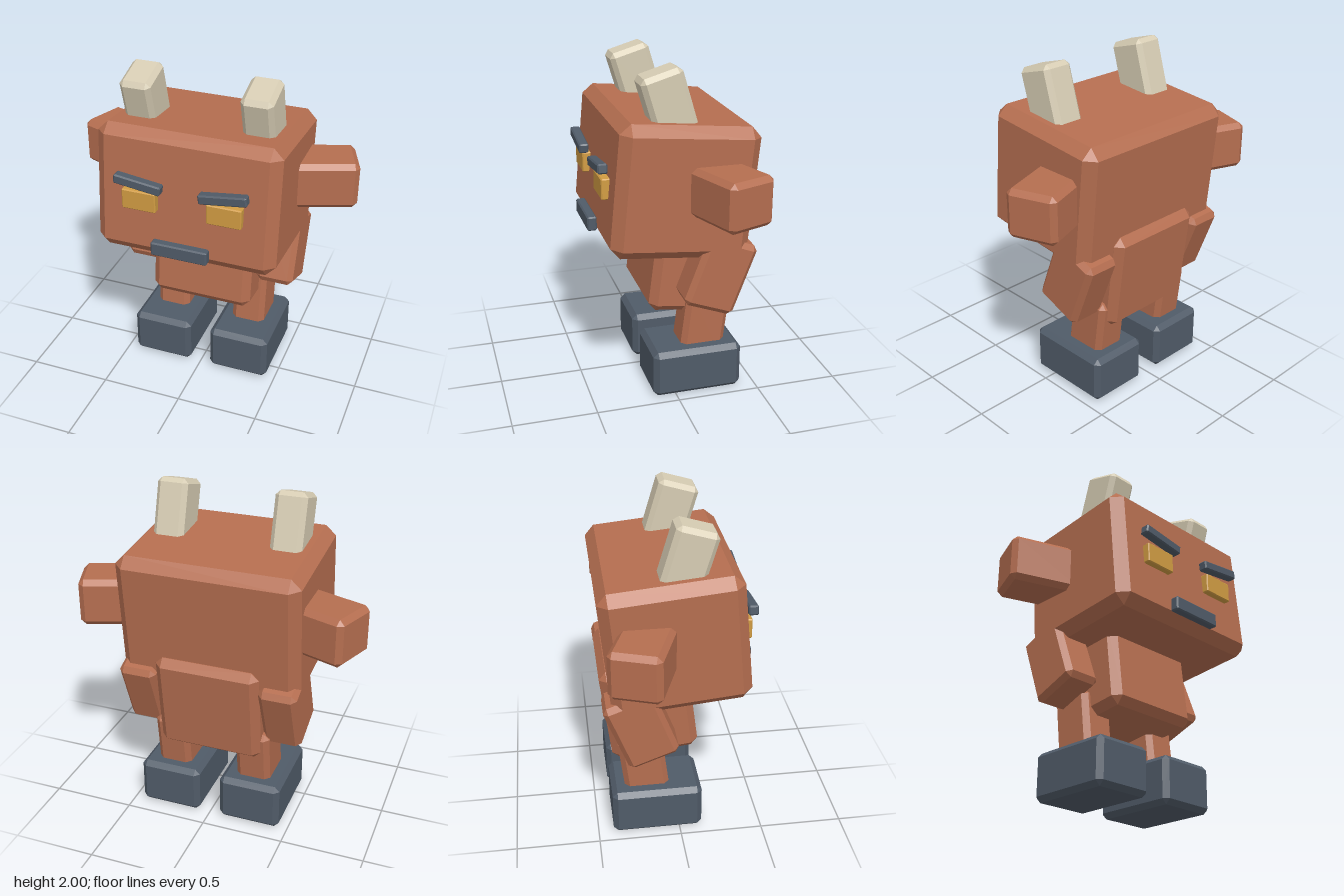
import * as THREE from 'three';
import { ConvexGeometry } from 'three/addons/geometries/ConvexGeometry.js';

const material = (name, color) => {
  const m = new THREE.MeshStandardMaterial({ color });
  m.name = name;
  return m;
};

// Box with flat 45 degree bevels of width c on every edge
function bevelBox(w, h, d, c) {
  const points = [];
  for (const sx of [-1, 1]) for (const sy of [-1, 1]) for (const sz of [-1, 1]) {
    const x = w / 2, y = h / 2, z = d / 2;
    points.push(
      new THREE.Vector3(sx * x, sy * (y - c), sz * (z - c)),
      new THREE.Vector3(sx * (x - c), sy * y, sz * (z - c)),
      new THREE.Vector3(sx * (x - c), sy * (y - c), sz * z)
    );
  }
  return new ConvexGeometry(points);
}

export function createModel() {
  const clay = material('terracotta', 0xb56e50);
  const slate = material('slate', 0x505b68);
  const bone = material('horn', 0xd6ccb3);
  const gold = material('gold', 0xd19c43);

  const model = new THREE.Group();
  model.name = 'hornedCreature';

  function block(name, mat, size, bevel, pos, rot = [0, 0, 0]) {
    const mesh = new THREE.Mesh(bevelBox(...size, bevel), mat);
    mesh.name = name;
    mesh.position.set(...pos);
    mesh.rotation.set(...rot);
    model.add(mesh);
  }

  // Left and right copies, mirrored across x = 0
  function pair(name, mat, size, bevel, [x, y, z], [rx, ry, rz] = [0, 0, 0]) {
    block('left' + name, mat, size, bevel, [x, y, z], [rx, ry, rz]);
    block('right' + name, mat, size, bevel, [-x, y, z], [rx, -ry, -rz]);
  }

  // Head and torso, both leaning back
  block('head', clay, [1.09, 0.77, 0.807], 0.06, [0, 1.308, -0.029], [-0.095, 0, 0]);
  block('torso', clay, [0.634, 0.61, 0.523], 0.045, [0, 0.78, -0.163], [-0.12, 0, 0]);

  // Limbs
  pair('Arm', clay, [0.23, 0.445, 0.313], 0.03, [0.43, 0.8, -0.235], [-0.36, 0, 0]);
  pair('Leg', clay, [0.21, 0.42, 0.268], 0.03, [0.256, 0.415, -0.206], [-0.12, 0, 0]);
  pair('Foot', slate, [0.38, 0.29, 0.545], 0.03, [0.256, 0.145, -0.135]);

  // Ears swept back, horns tipped forward
  pair('Ear', clay, [0.42, 0.285, 0.3], 0.03, [0.629, 1.327, -0.23], [0, 0.35, 0]);
  pair('Horn', bone, [0.187, 0.4, 0.245], 0.027, [0.354, 1.777, 0.041], [0.29, 0, 0]);

  // Face
  pair('Eye', gold, [0.205, 0.122, 0.065], 0.006, [0.254, 1.325, 0.386]);
  pair('Brow', slate, [0.283, 0.057, 0.058], 0.008, [0.252, 1.439, 0.415], [0, 0, 0.13]);
  block('mouth', slate, [0.34, 0.085, 0.056], 0.008, [0, 1.053, 0.435]);

  return model;
}
